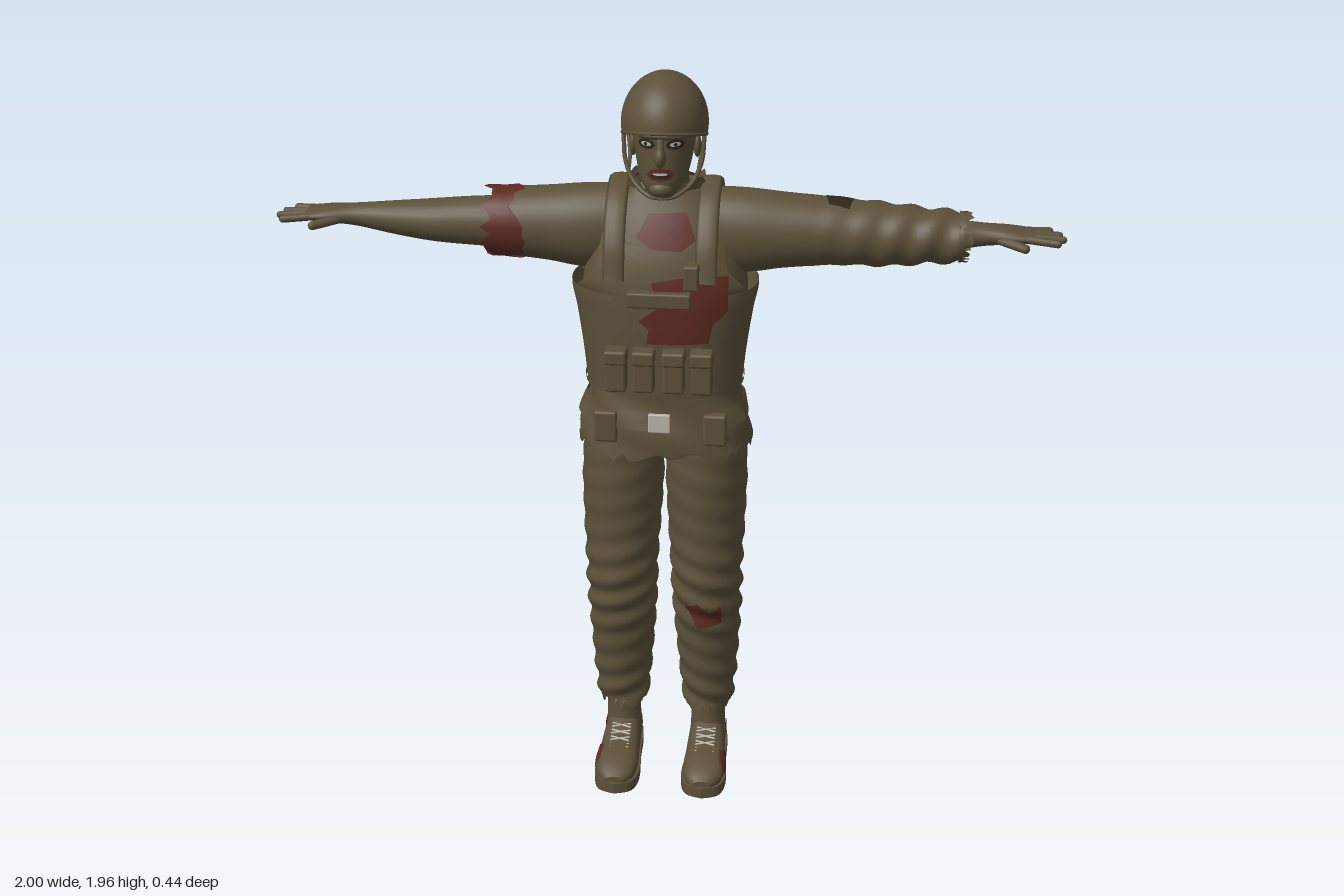
import * as THREE from 'three';
import { RoundedBoxGeometry } from 'three/addons/geometries/RoundedBoxGeometry.js';

const mat = (name, color) => Object.assign(new THREE.MeshStandardMaterial({ color, side: THREE.DoubleSide }), { name });
const V = (...p) => new THREE.Vector3(...p);
const hash = n => { const s = Math.sin(n * 127.1) * 43758.5; return s - Math.floor(s); };

// Smooth surface along an axis (0 x, 1 y, 2 z). Keys: [position, centre1, centre2, radius1, radius2],
// the two cross directions following the axis in cyclic order.
function surface(axis, keys, { square = 1, wrinkle = () => 0 } = {}) {
  const spline = new THREE.CubicInterpolant(keys.map(k => k[0]), new Float32Array(keys.flatMap(k => k.slice(1))), 4);
  const bend = v => Math.sign(v) * Math.abs(v) ** square;
  const at = (p, a, off = 0, scale = 1, shift = 0) => {
    const [c1, c2, r1, r2] = spline.evaluate(p);
    const w = off + wrinkle(p, a), v = [0, 0, 0];
    v[axis] = p + shift;
    v[(axis + 1) % 3] = c1 + scale * (r1 + w) * bend(Math.cos(a));
    v[(axis + 2) % 3] = c2 + scale * (r2 + w) * bend(Math.sin(a));
    return v;
  };
  // point on an upright surface seen from the front or back
  const facing = (back, off) => (x, y) => {
    const r = spline.evaluate(y), t = THREE.MathUtils.clamp((x - r[1]) / r[3], -1, 1);
    const a = Math.asin(Math.sign(t) * Math.abs(t) ** (1 / square));
    return at(y, back ? Math.PI - a : a, off);
  };
  return { at, facing };
}

// Join closed rings of points into a smooth mesh
function grid(rows) {
  const n = rows[0].length, idx = [];
  for (let i = 0; i < rows.length - 1; i++) for (let j = 0; j < n; j++) {
    const a = i * n + j, b = i * n + (j + 1) % n;
    idx.push(a, b, b + n, a, b + n, a + n);
  }
  const g = new THREE.BufferGeometry();
  g.setAttribute('position', new THREE.Float32BufferAttribute(rows.flat(2), 3));
  g.setIndex(idx);
  g.computeVertexNormals();
  return g;
}

// Skin a surface between two positions, with optional end caps and torn ends
function skin(s, p0, p1, { steps = 24, seg = 36, off = 0, cap = false, torn = [0, 0] } = {}) {
  const row = (p, scale, tear) => Array.from({ length: seg }, (_, j) =>
    s.at(p, j / seg * Math.PI * 2, off, scale, tear * (hash(j + p * 10) - 0.5)));
  const rows = [];
  for (let i = 0; i <= steps; i++)
    rows.push(row(p0 + (p1 - p0) * i / steps, 1, i === 0 ? torn[0] : i === steps ? torn[1] : 0));
  if (cap) rows.unshift(row(p0, 0, 0), row(p0, 1, 0)), rows.push(row(p1, 1, 0), row(p1, 0, 0));
  return grid(rows);
}

// Thin plate that follows a surface inside a star-shaped outline
function patch(outline, map) {
  const rings = 6, edge = [];
  const c = outline.reduce((s, p) => [s[0] + p[0] / outline.length, s[1] + p[1] / outline.length], [0, 0]);
  outline.forEach((p, i) => {
    const q = outline[(i + 1) % outline.length];
    for (let k = 0; k < 4; k++) edge.push([p[0] + (q[0] - p[0]) * k / 4, p[1] + (q[1] - p[1]) * k / 4]);
  });
  const rows = [];
  for (let r = 0; r <= rings; r++)
    rows.push(edge.map(p => map(c[0] + (p[0] - c[0]) * r / rings, c[1] + (p[1] - c[1]) * r / rings)));
  return grid(rows);
}

// Mirrored copy of an indexed geometry, with its corners reordered
function mirror(geo) {
  const g = geo.clone().scale(-1, 1, 1), i = g.index.array;
  for (let k = 0; k < i.length; k += 3) [i[k], i[k + 1]] = [i[k + 1], i[k]];
  return g;
}

const tube = (pts, r, seg = 20) => new THREE.TubeGeometry(new THREE.CatmullRomCurve3(pts), seg, r, 8);
function rod(a, b, r) {
  const d = b.clone().sub(a), g = new THREE.CapsuleGeometry(r, d.length(), 5, 10);
  g.applyQuaternion(new THREE.Quaternion().setFromUnitVectors(V(0, 1, 0), d.normalize()));
  return g.translate(...a.clone().add(b).multiplyScalar(0.5).toArray());
}
const ball = (x, y, z, rx, ry, rz) => new THREE.SphereGeometry(1, 20, 14).scale(rx, ry, rz).translate(x, y, z);
const box = (x, y, z, w, h, d, r = 0.008) => new RoundedBoxGeometry(w, h, d, 3, r).translate(x, y, z);

export function createModel() {
  const model = new THREE.Group();
  const cloth = mat('olive cloth', 0x5b5039), blood = mat('dried blood', 0x5c2a20);
  const pale = mat('pale metal', 0xb8b4aa), dark = mat('dark tear', 0x2a251c);
  const add = (name, geo, m = cloth) => {
    const mesh = new THREE.Mesh(geo, m);
    mesh.name = name;
    model.add(mesh);
  };
  const pair = (name, geo, m) => { add('left' + name, geo, m); add('right' + name, mirror(geo), m); };

  // Jacket, vest and belt
  const jacket = surface(1, [[0.98, 0, 0, 0.155, 0.228], [1.05, 0, 0, 0.15, 0.217], [1.12, 0, 0, 0.138, 0.195],
    [1.2, 0, 0, 0.14, 0.19], [1.4, -0.008, 0, 0.148, 0.21], [1.5, -0.012, 0, 0.138, 0.195], [1.58, -0.016, 0, 0.112, 0.165],
    [1.64, -0.02, 0, 0.085, 0.13], [1.68, -0.018, 0, 0.065, 0.08]],
    { square: 0.88, wrinkle: (p, a) => p < 1.18 ? 0.004 * Math.sin(a * 5 + p * 50) : 0 });
  add('jacket', skin(jacket, 0.98, 1.68, { steps: 40, seg: 64, torn: [0.035, 0] }));
  const vest = surface(1, [[1.15, 0, 0, 0.152, 0.2], [1.25, -0.002, 0, 0.158, 0.211], [1.35, -0.006, 0, 0.165, 0.226],
    [1.42, -0.01, 0, 0.167, 0.238], [1.5, -0.012, 0, 0.154, 0.212], [1.58, -0.016, 0, 0.127, 0.18], [1.64, -0.02, 0, 0.1, 0.15]],
    { square: 0.88 });
  add('vest', skin(vest, 1.15, 1.42, { seg: 48 }));
  add('vestHem', skin(vest, 1.15, 1.165, { steps: 1, seg: 48, off: 0.004 }));
  const panel = [[-0.225, 1.41], [0.225, 1.41], [0.165, 1.48], [0.15, 1.56], [0, 1.54], [-0.15, 1.56], [-0.165, 1.48]];
  add('vestFront', patch(panel, vest.facing(false, 0)));
  add('vestBack', patch(panel, vest.facing(true, 0)));
  pair('ShoulderStrap', tube([V(0, 1.46, 0.15), V(0, 1.55, 0.128), V(0, 1.64, 0.065), V(0, 1.672, 0), V(0, 1.672, -0.05),
    V(0, 1.62, -0.115), V(0, 1.54, -0.148), V(0, 1.46, -0.17)], 0.008, 30).scale(3.4, 1, 1).translate(0.115, 0, 0));
  const collar = surface(1, [[1.62, -0.018, 0, 0.075, 0.108], [1.655, -0.018, 0, 0.074, 0.1], [1.685, -0.018, 0, 0.082, 0.106]]);
  add('collar', skin(collar, 1.62, 1.68, { steps: 6, seg: 28, torn: [0, 0.035] }));
  add('belt', skin(jacket, 1.06, 1.105, { steps: 3, seg: 64, off: 0.007 }));
  add('buckle', box(0, 1.082, 0.156, 0.056, 0.05, 0.012, 0.003), pale);
  for (const s of [1, -1]) add(s > 0 ? 'leftHipPouch' : 'rightHipPouch', box(s * 0.14, 1.06, 0.13, 0.06, 0.085, 0.03));

  // Magazine pouches, radio pads and backpack
  [-0.108, -0.038, 0.038, 0.108].forEach((x, i) => {
    add('pouch' + (i + 1), box(x, 1.23, 0.165, 0.054, 0.108, 0.048));
    add('pouchFlap' + (i + 1), box(x, 1.27, 0.17, 0.058, 0.038, 0.052));
  });
  add('chestPad', box(0, 1.42, 0.165, 0.16, 0.04, 0.03, 0.006));
  add('radio', box(0.08, 1.48, 0.155, 0.038, 0.065, 0.045, 0.006));
  add('backpack', box(0, 1.325, -0.188, 0.21, 0.235, 0.07, 0.015));

  // Blood on the vest
  const onVest = vest.facing(false, 0.006);
  add('chestStain', patch([[-0.03, 1.62], [0.06, 1.625], [0.085, 1.56], [0.05, 1.535], [-0.02, 1.54], [-0.06, 1.565]], onVest), blood);
  add('bellyStain', patch([[-0.02, 1.46], [0.09, 1.48], [0.165, 1.47], [0.165, 1.38], [0.13, 1.35], [0.12, 1.3],
    [-0.03, 1.3], [-0.025, 1.34], [-0.05, 1.36], [0.0, 1.4]], onVest), blood);

  // Sleeves: the left one long, the right one torn off above the elbow
  const sleeve = surface(0, [[0.04, 1.56, -0.02, 0.098, 0.075], [0.2, 1.548, -0.02, 0.108, 0.09], [0.3, 1.55, -0.022, 0.096, 0.088],
    [0.45, 1.55, -0.025, 0.084, 0.084], [0.55, 1.546, -0.025, 0.08, 0.08], [0.65, 1.546, -0.024, 0.07, 0.075],
    [0.76, 1.547, -0.022, 0.06, 0.066]],
    { wrinkle: (p, a) => p < 0.35 ? 0 : (p - 0.35) * 0.016 * Math.sin(a * 2 + p * 75) });
  add('leftSleeve', skin(sleeve, 0.04, 0.75, { steps: 60, torn: [0, 0.04] }));
  add('sleeveTear', patch([[0.4, -0.1], [0.47, 0.0], [0.46, 0.55], [0.41, 0.45]], (p, a) => sleeve.at(p, a, 0.004)), dark);
  add('leftCuff', skin(sleeve, 0.735, 0.752, { steps: 3, off: 0.007, torn: [0.01, 0.035] }));
  add('rightSleeve', mirror(skin(sleeve, 0.04, 0.44, { steps: 30, torn: [0, 0.02] })));
  add('sleeveStain', mirror(skin(sleeve, 0.375, 0.447, { steps: 5, seg: 30, off: 0.005, torn: [0.06, 0.04] })), blood);

  // Forearms and hands
  const forearm = surface(0, [[0.38, 1.548, -0.025, 0.068, 0.068], [0.5, 1.547, -0.025, 0.062, 0.062], [0.6, 1.546, -0.024, 0.054, 0.058],
    [0.7, 1.55, -0.022, 0.042, 0.047], [0.8, 1.556, -0.02, 0.028, 0.036], [0.86, 1.558, -0.018, 0.022, 0.045],
    [0.92, 1.557, -0.018, 0.014, 0.047]]);
  pair('Forearm', skin(forearm, 0.38, 0.92, { cap: true, seg: 24 }));
  [[-0.056, 0.96], [-0.032, 0.982], [-0.006, 0.99], [0.019, 0.975]].forEach(([z, x], i) =>
    pair('Finger' + (i + 1), rod(V(0.905, 1.557, z), V(x, 1.553, -0.018 + (z + 0.018) * 1.35), 0.0095)));
  pair('Thumb', rod(V(0.83, 1.552, 0.008), V(0.895, 1.543, 0.046), 0.012));

  // Trousers
  const leg = surface(1, [[0.16, -0.02, 0.118, 0.064, 0.062], [0.25, -0.02, 0.118, 0.08, 0.074], [0.4, -0.01, 0.116, 0.098, 0.086],
    [0.52, 0.008, 0.115, 0.108, 0.091], [0.62, 0.02, 0.114, 0.112, 0.094], [0.75, 0.012, 0.112, 0.122, 0.102],
    [0.9, 0, 0.11, 0.14, 0.107], [1.03, -0.004, 0.108, 0.138, 0.1]],
    { wrinkle: (p, a) => 0.0045 * Math.sin(a * 2 + p * 85) * (0.35 + Math.exp(-(((p - 0.55) / 0.13) ** 2)) + Math.exp(-(((p - 0.2) / 0.1) ** 2))) });
  pair('TrouserLeg', skin(leg, 0.18, 1.03, { steps: 90, seg: 40, torn: [0.05, 0] }));
  add('kneeTear', patch([[0.07, 0.53], [0.1, 0.59], [0.16, 0.6], [0.18, 0.5], [0.12, 0.47]], leg.facing(false, 0.003)));
  add('kneeStain', patch([[0.065, 0.53], [0.1, 0.55], [0.13, 0.52], [0.155, 0.54], [0.16, 0.48], [0.1, 0.465]], leg.facing(false, 0.006)), blood);

  // Ankles and shoes
  const ankle = surface(1, [[0.06, -0.03, 0.118, 0.056, 0.05], [0.15, -0.03, 0.118, 0.048, 0.046], [0.3, -0.02, 0.118, 0.055, 0.052]]);
  pair('Ankle', skin(ankle, 0.06, 0.3, { steps: 8, seg: 24 }));
  const shoe = surface(2, [[-0.1, 0.118, 0.055, 0.038, 0.045], [-0.06, 0.118, 0.062, 0.048, 0.058], [0, 0.118, 0.06, 0.05, 0.062],
    [0.07, 0.119, 0.048, 0.054, 0.045], [0.15, 0.12, 0.042, 0.056, 0.034], [0.19, 0.12, 0.036, 0.044, 0.024], [0.21, 0.12, 0.033, 0.024, 0.014]],
    { square: 0.85 });
  pair('Shoe', skin(shoe, -0.1, 0.21, { cap: true, seg: 28 }));
  const print = new THREE.Shape(new THREE.SplineCurve([[0, -0.22], [0.045, -0.2], [0.061, -0.14], [0.054, -0.03], [0.05, 0.07], [0.03, 0.105],
    [-0.03, 0.105], [-0.05, 0.07], [-0.054, -0.03], [-0.061, -0.14], [-0.045, -0.2], [0, -0.22]].map(p => new THREE.Vector2(...p))).getPoints(44));
  for (const s of [1, -1]) add(s > 0 ? 'leftSole' : 'rightSole', new THREE.ExtrudeGeometry(print, { depth: 0.03, bevelEnabled: false })
    .rotateX(-Math.PI / 2).translate(s * 0.119, 0, 0));
  for (let i = 0; i < 4; i++) {
    const z = 0.03 + i * 0.022, y = 0.112 - i * 0.008;
    pair('LaceA' + i, rod(V(0.094, y - 0.006, z), V(0.142, y - 0.008, z + 0.014), 0.0028), pale);
    pair('LaceB' + i, rod(V(0.142, y - 0.006, z), V(0.094, y - 0.008, z + 0.014), 0.0028), pale);
  }
  const onShoe = (p, a) => shoe.at(p, a, 0.003);
  pair('ToeStain', patch([[0.07, 0.1], [0.1, 0.9], [0.15, 0.8], [0.165, 0.1], [0.11, -0.3]], onShoe), blood);
  pair('HeelStain', patch([[-0.07, 0.0], [-0.05, 0.4], [-0.02, 0.2], [-0.03, -0.4]], onShoe), blood);

  // Head and face
  const head = surface(1, [[1.665, 0.075, 0, 0.034, 0.032], [1.7, 0.05, 0, 0.07, 0.056], [1.74, 0.025, 0, 0.094, 0.068],
    [1.8, 0.018, 0, 0.1, 0.078], [1.86, 0.012, 0, 0.105, 0.082]]);
  add('head', skin(head, 1.665, 1.86, { cap: true }));
  const neck = surface(1, [[1.6, -0.025, 0, 0.066, 0.072], [1.68, -0.015, 0, 0.055, 0.058], [1.78, -0.015, 0, 0.058, 0.06]]);
  add('neck', skin(neck, 1.6, 1.78, { steps: 8 }));
  add('nose', ball(0, 1.772, 0.126, 0.014, 0.026, 0.022));
  add('noseBridge', rod(V(0, 1.775, 0.13), V(0, 1.815, 0.116), 0.009));
  add('chin', ball(0, 1.688, 0.105, 0.03, 0.02, 0.022));
  add('brow', ball(0, 1.824, 0.106, 0.06, 0.012, 0.02));
  pair('Ear', ball(0.08, 1.77, 0, 0.01, 0.03, 0.018));
  const face = off => head.facing(false, off);
  const oval = (x, y, w, h) => Array.from({ length: 8 }, (_, i) => [x + w * Math.cos(i * Math.PI / 4), y + h * Math.sin(i * Math.PI / 4)]);
  pair('EyeSocket', patch(oval(0.034, 1.802, 0.022, 0.013), face(0.002)), dark);
  pair('Eye', patch(oval(0.034, 1.803, 0.013, 0.006), face(0.004)), pale);
  pair('Pupil', patch(oval(0.034, 1.803, 0.004, 0.005), face(0.006)), dark);
  add('lips', patch(oval(0, 1.728, 0.032, 0.017), face(0.005)), blood);
  add('mouth', patch(oval(0, 1.727, 0.023, 0.009), face(0.007)), dark);
  add('teeth', patch(oval(0, 1.731, 0.018, 0.0035), face(0.009)), pale);

  // Helmet with its rim and chin strap
  const tilt = g => g.rotateX(-0.25).translate(0, 1.83, 0.008);
  add('helmet', tilt(new THREE.SphereGeometry(1, 40, 24, 0, Math.PI * 2, 0, Math.PI * 0.57).scale(0.108, 0.126, 0.134)));
  add('helmetRim', tilt(new THREE.TorusGeometry(1, 0.03, 8, 40).rotateX(Math.PI / 2).scale(0.105, 0.14, 0.131).translate(0, -0.027, 0)));
  pair('ChinStrap', tube([V(0.1, 1.81, 0.03), V(0.094, 1.74, 0.045), V(0.07, 1.69, 0.065), V(0.03, 1.663, 0.09), V(0, 1.66, 0.095)], 0.0055));
  pair('RearStrap', tube([V(0.096, 1.79, -0.03), V(0.088, 1.74, 0), V(0.086, 1.715, 0.052)], 0.0045, 10));
  return model;
}
